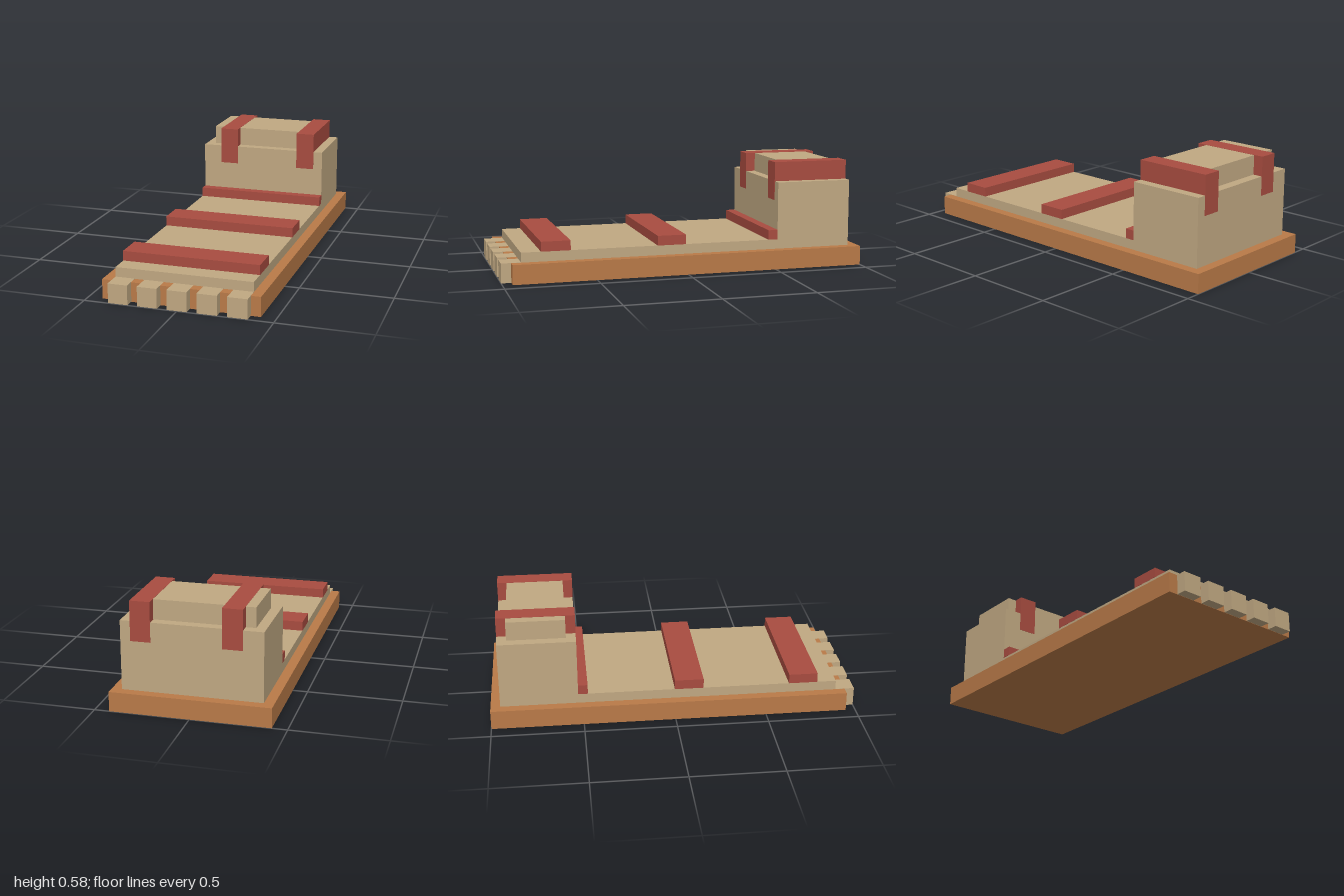
import * as THREE from 'three';

const tan = new THREE.MeshStandardMaterial({ name: 'tan cloth', color: 0xc0a882 });
const wood = new THREE.MeshStandardMaterial({ name: 'orange brown wood', color: 0xb97a48 });
const red = new THREE.MeshStandardMaterial({ name: 'red strap', color: 0xa84c40 });

// The whole model sits on a grid of 1/19 unit
const U = 1 / 19;

// Box given by its minimum and maximum corners, in grid units
function box(name, material, [x0, y0, z0], [x1, y1, z1]) {
  const geometry = new THREE.BoxGeometry((x1 - x0) * U, (y1 - y0) * U, (z1 - z0) * U);
  const mesh = new THREE.Mesh(geometry, material);
  mesh.position.set((x0 + x1) / 2 * U, (y0 + y1) / 2 * U, (z0 + z1) / 2 * U);
  mesh.name = name;
  return mesh;
}

export function createModel() {
  const model = new THREE.Group();
  model.name = 'strappedBed';
  const e = 0.02; // small overlap that keeps flush faces apart

  // Base board and the padding on it
  model.add(box('baseBoard', wood, [-8, 0, -19], [8, 2, 18]));
  model.add(box('pad', tan, [-7, 2, -10], [7, 3, 17]));

  // Row of five fringe blocks along the front edge
  for (let i = -2; i <= 2; i++) {
    model.add(box('fringeBlock', tan, [i * 3 - 1, e, 17], [i * 3 + 1, 2 + e, 19]));
  }

  // Straps across the pad
  for (const [z0, z1] of [[12, 15], [0, 3], [-10, -9]]) {
    model.add(box('padStrap', red, [-7 - e, 3, z0], [7 + e, 4, z1]));
  }

  // Raised block at the back with a bundle on top
  model.add(box('headBlock', tan, [-7, 2, -18], [7, 9, -10]));
  model.add(box('bundle', tan, [-6, 9, -17], [5.5, 11, -11]));

  // Straps that hold the bundle down
  for (const x of [-5, 4]) {
    model.add(box('bundleStrap', red, [x, 7, -18 - e], [x + 2, 11 + e, -10 + e]));
  }
  return model;
}
